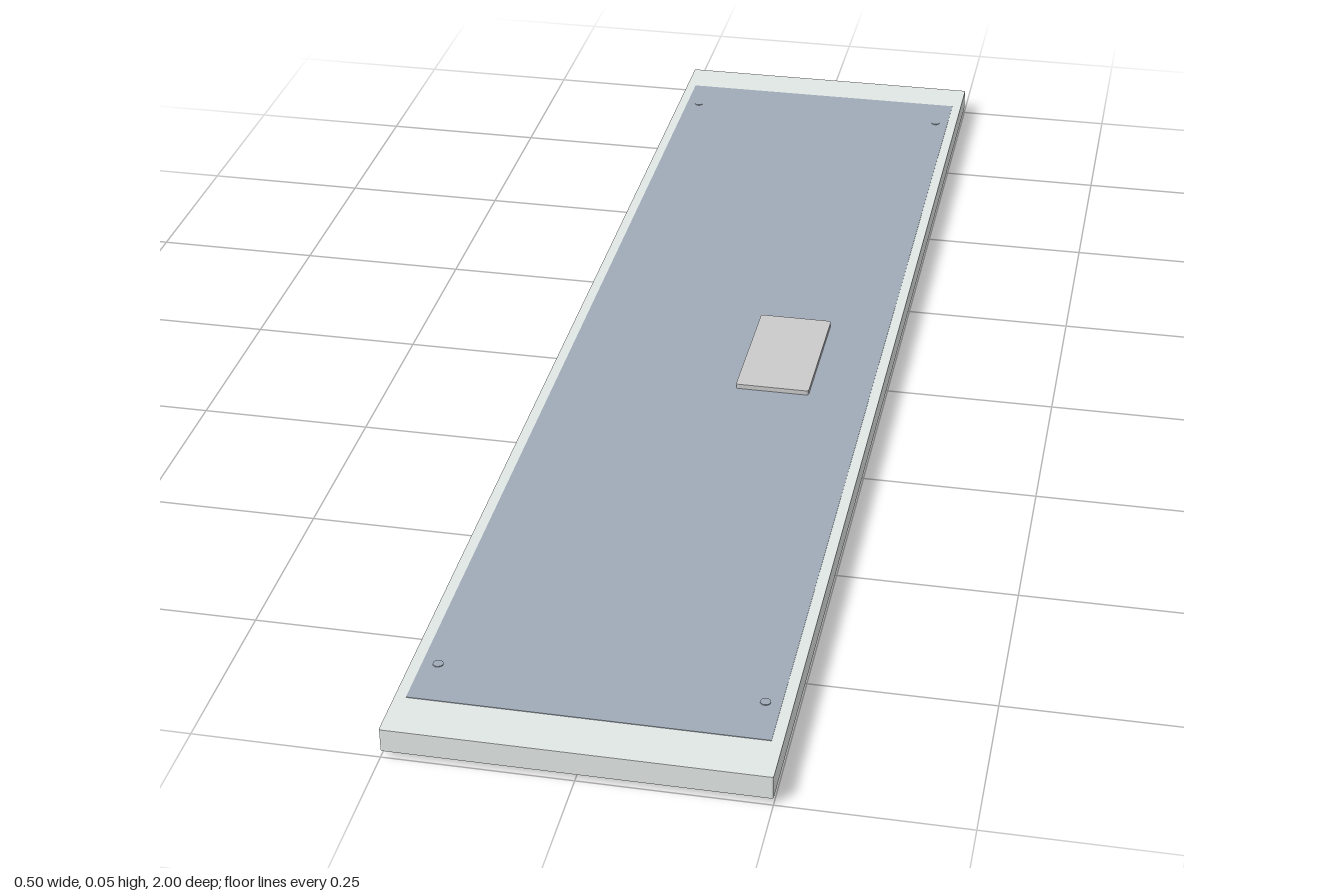
import * as THREE from 'three';

const grey = new THREE.MeshStandardMaterial({ color: 0xcccccc });
const paleGrey = new THREE.MeshStandardMaterial({ color: 0xe2e8e6 });
const slateBlue = new THREE.MeshStandardMaterial({ color: 0xa0abb8 });

// Flat slab with small rounded vertical corners, spanning y0 to y1
function slab(name, width, depth, y0, y1, radius, material) {
  const w = width / 2, d = depth / 2, r = radius;
  const shape = new THREE.Shape();
  shape.moveTo(-w + r, -d);
  shape.lineTo(w - r, -d);
  shape.absarc(w - r, -d + r, r, -Math.PI / 2, 0, false);
  shape.absarc(w - r, d - r, r, 0, Math.PI / 2, false);
  shape.absarc(-w + r, d - r, r, Math.PI / 2, Math.PI, false);
  shape.absarc(-w + r, -d + r, r, Math.PI, Math.PI * 1.5, false);
  const geometry = new THREE.ExtrudeGeometry(shape, { depth: y1 - y0, bevelEnabled: false, curveSegments: 6 });
  geometry.rotateX(-Math.PI / 2);
  geometry.translate(0, y0, 0);
  const mesh = new THREE.Mesh(geometry, material);
  mesh.name = name;
  return mesh;
}

export function createModel() {
  const group = new THREE.Group();
  group.name = 'flatPanel';

  // Main housing with an inset face sheet on top
  group.add(slab('housing', 0.5, 2, 0.01, 0.043, 0.003, paleGrey));
  group.add(slab('faceSheet', 0.47, 1.86, 0.042, 0.0438, 0.001, slateBlue));

  // Thin plate held just below the housing
  group.add(slab('bottomPlate', 0.47, 1.86, 0, 0.003, 0.001, grey));

  // Connection box, off centre on the face sheet
  const box = slab('connectionBox', 0.11, 0.214, 0.043, 0.051, 0.004, grey);
  box.position.x = 0.09;
  group.add(box);

  // Screw heads in the four corners
  const screwGeometry = new THREE.CylinderGeometry(0.007, 0.007, 0.003, 16);
  for (const x of [-0.214, 0.214]) {
    for (const z of [-0.855, 0.855]) {
      const screw = new THREE.Mesh(screwGeometry, slateBlue);
      screw.name = 'screwHead';
      screw.position.set(x, 0.0435, z);
      group.add(screw);
    }
  }
  return group;
}
